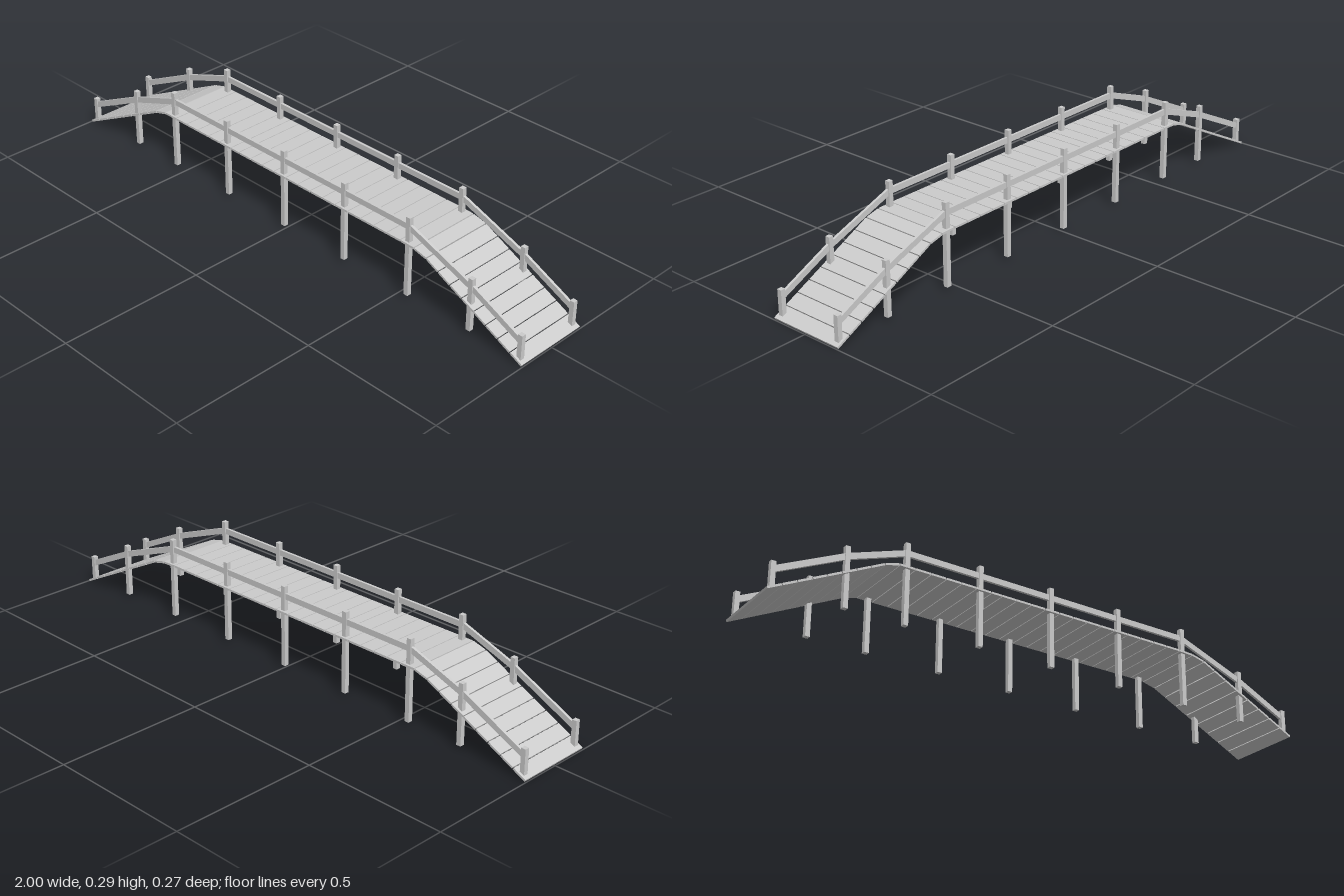
import * as THREE from 'three';

const material = new THREE.MeshStandardMaterial({ color: 0xcccccc, flatShading: true });

// Box whose long axis runs from a to b (points [x, y]) in the plane z
function beam(name, a, b, height, depth, z, gap = 0) {
  const dx = b[0] - a[0], dy = b[1] - a[1];
  const mesh = new THREE.Mesh(new THREE.BoxGeometry(Math.hypot(dx, dy) - gap, height, depth), material);
  mesh.position.set((a[0] + b[0]) / 2, (a[1] + b[1]) / 2, z);
  mesh.rotation.z = Math.atan2(dy, dx);
  mesh.name = name;
  return mesh;
}

// Evenly spaced values from a to b, leaving out a
function steps(a, b, count) {
  return Array.from({ length: count }, (_, i) => a + ((b - a) * (i + 1)) / count);
}

// Height of the deck's centre line: straight ramps, a short bend, a flat span
function deckHeight(x) {
  const d = Math.abs(x);
  if (d > 0.62) return 0.004 + ((1 - d) / 0.38) * 0.188;
  if (d > 0.57) return 0.192 + ((0.62 - d) / 0.05) * 0.012;
  return 0.206;
}

export function createModel() {
  const bridge = new THREE.Group();
  bridge.name = 'footbridge';

  // Deck planks, with one narrow plank left of the middle
  const deck = new THREE.Group();
  deck.name = 'deck';
  const joints = [-0.998, ...steps(-0.998, -0.62, 8), -0.57, ...steps(-0.57, -0.24, 6),
    -0.2, ...steps(-0.2, 0.57, 14), 0.62, ...steps(0.62, 0.998, 8)];
  for (let i = 0; i + 1 < joints.length; i++) {
    const [a, b] = [joints[i], joints[i + 1]];
    deck.add(beam('plank', [a, deckHeight(a)], [b, deckHeight(b)], 0.007, 0.268, 0, 0.003));
  }
  bridge.add(deck);

  // Posts as [x, top, rail height]
  const posts = [
    [-0.978, 0.1, 0.075], [-0.742, 0.22, 0.187], [-0.538, 0.293, 0.259],
    [-0.273, 0.293, 0.259], [-0.004, 0.293, 0.259], [0.266, 0.293, 0.259],
    [0.536, 0.293, 0.259], [0.785, 0.198, 0.167], [0.978, 0.1, 0.075],
  ];
  for (const side of [1, -1]) {
    const railing = new THREE.Group();
    railing.name = side > 0 ? 'frontRailing' : 'backRailing';
    const z = side * 0.118;
    posts.forEach(([x, top, rail], i) => {
      const post = new THREE.Mesh(new THREE.BoxGeometry(0.016, top - 0.015, 0.016), material);
      post.position.set(x, (top + 0.015) / 2, z);
      post.name = 'post';
      railing.add(post);
      // Handrail to the next post
      const next = posts[i + 1];
      if (next) railing.add(beam('handrail', [x, rail], [next[0], next[2]], 0.02, 0.009, z));
    });
    bridge.add(railing);
  }
  return bridge;
}
